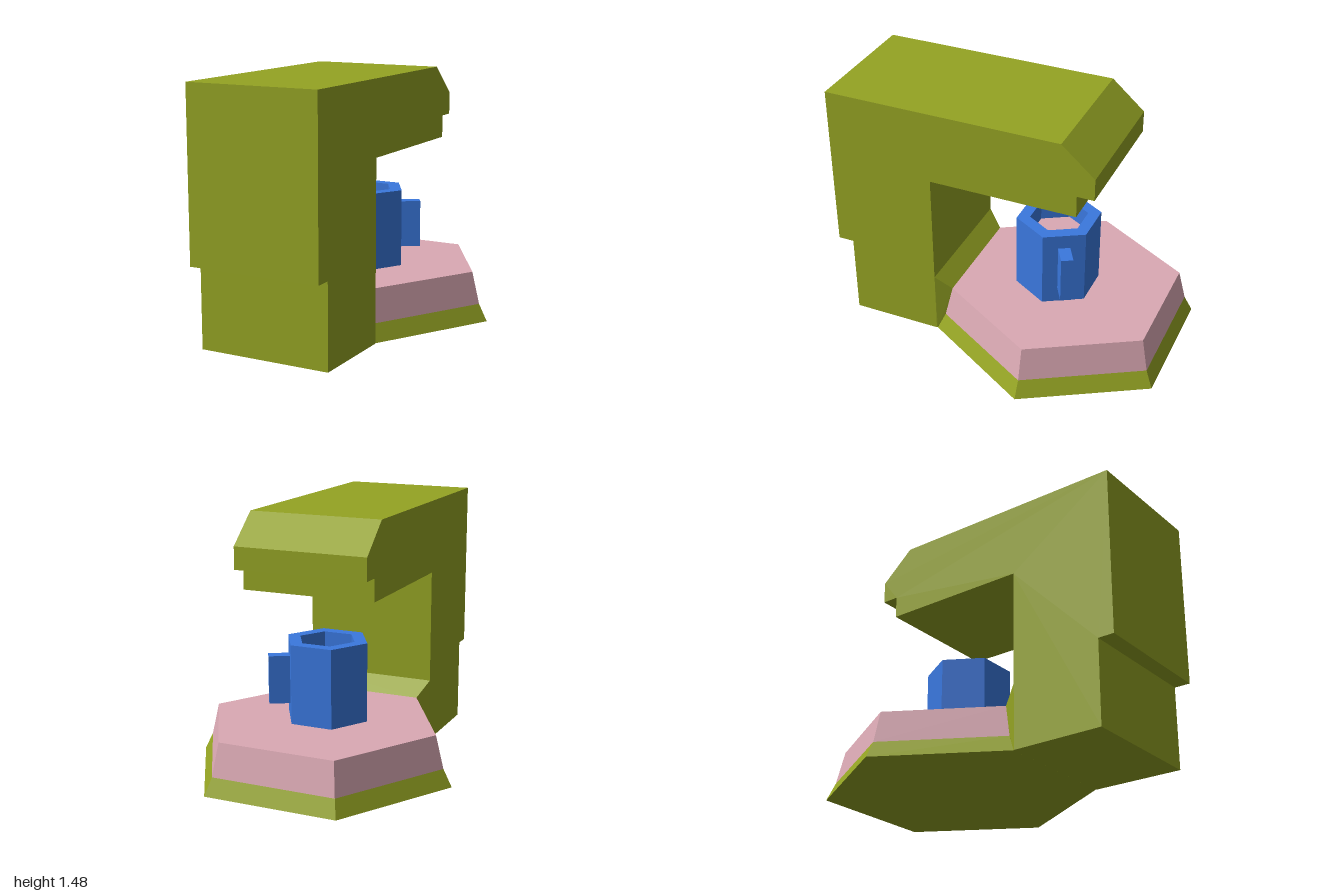
import * as THREE from 'three';
import { ConvexGeometry } from 'three/addons/geometries/ConvexGeometry.js';

const material = (name, color) => {
  const m = new THREE.MeshStandardMaterial({ color });
  m.name = name;
  return m;
};

// Flat-faced copy of a geometry
const facet = (geometry) => {
  const g = geometry.toNonIndexed();
  g.computeVertexNormals();
  return g;
};

// Hexagon outline with corners on the x axis
const hexagon = (r) => Array.from({ length: 6 }, (_, i) =>
  new THREE.Vector2(r * Math.cos(i * Math.PI / 3), r * Math.sin(i * Math.PI / 3)));

export function createModel() {
  const green = material('olive green', 0x94a323);
  const pink = material('dusty pink', 0xdba9b4);
  const blue = material('blue', 0x3a78de);

  const model = new THREE.Group();
  model.name = 'coffeeMachine';
  const add = (name, geometry, mat, parent = model) => {
    const mesh = new THREE.Mesh(geometry, mat);
    mesh.name = name;
    parent.add(mesh);
    return mesh;
  };

  // Body and overhanging brew head: a side profile (z, y) extruded across x
  const halfWidth = 0.395;
  const profile = [
    [0.905, 0], [0.905, 0.49], [1, 0.49], [1, 1.48], [-0.415, 1.48], [-0.61, 1.31],
    [-0.61, 1.18], [-0.51, 1.18], [-0.51, 1.05], [0.365, 1.05], [0.365, 0],
  ].map(([z, y]) => new THREE.Vector2(z, y));
  const body = new THREE.ExtrudeGeometry(new THREE.Shape(profile),
    { depth: halfWidth * 2, bevelEnabled: false });
  body.rotateY(-Math.PI / 2).translate(halfWidth, 0, 0);
  add('body', body, green);

  // Two-tier tapered hexagonal base
  const baseZ = -0.32;
  const tier = (name, rTop, rBottom, y0, y1, mat) => {
    const g = new THREE.CylinderGeometry(rTop, rBottom, y1 - y0, 6);
    g.rotateY(Math.PI / 6).translate(0, (y0 + y1) / 2, baseZ);
    add(name, facet(g), mat);
  };
  tier('baseSkirt', 0.734, 0.785, 0, 0.1, green);
  tier('baseTray', 0.687, 0.734, 0.1, 0.29, pink);

  // Sloped neck joining the base to the body
  const neckPoints = [];
  for (const side of [-1, 1]) {
    for (const [x, y, z] of [[0.395, 0.38, 0.365], [0.3435, 0.29, 0.275],
      [0.367, 0.1, 0.316], [0.393, 0, 0.36], [0.395, 0, 0.365]]) {
      neckPoints.push(new THREE.Vector3(side * x, y, z));
    }
  }
  add('neck', new ConvexGeometry(neckPoints), green);

  // Hexagonal cup with its drink and handle
  const cup = new THREE.Group();
  cup.name = 'cup';
  cup.position.set(0, 0.29, -0.26);
  model.add(cup);

  const wall = new THREE.Shape(hexagon(0.248));
  wall.holes.push(new THREE.Path(hexagon(0.17).reverse()));
  const wallGeometry = new THREE.ExtrudeGeometry(wall, { depth: 0.46, bevelEnabled: false });
  add('cupWall', wallGeometry.rotateX(-Math.PI / 2), blue, cup);

  const drink = new THREE.ShapeGeometry(new THREE.Shape(hexagon(0.17)));
  add('drink', drink.rotateX(-Math.PI / 2).translate(0, 0.34, 0), pink, cup);

  const handle = new THREE.BoxGeometry(0.13, 0.28, 0.07);
  handle.translate(0.27, 0.235, 0).rotateY(Math.PI / 6);
  add('cupHandle', handle, blue, cup);

  return model;
}
